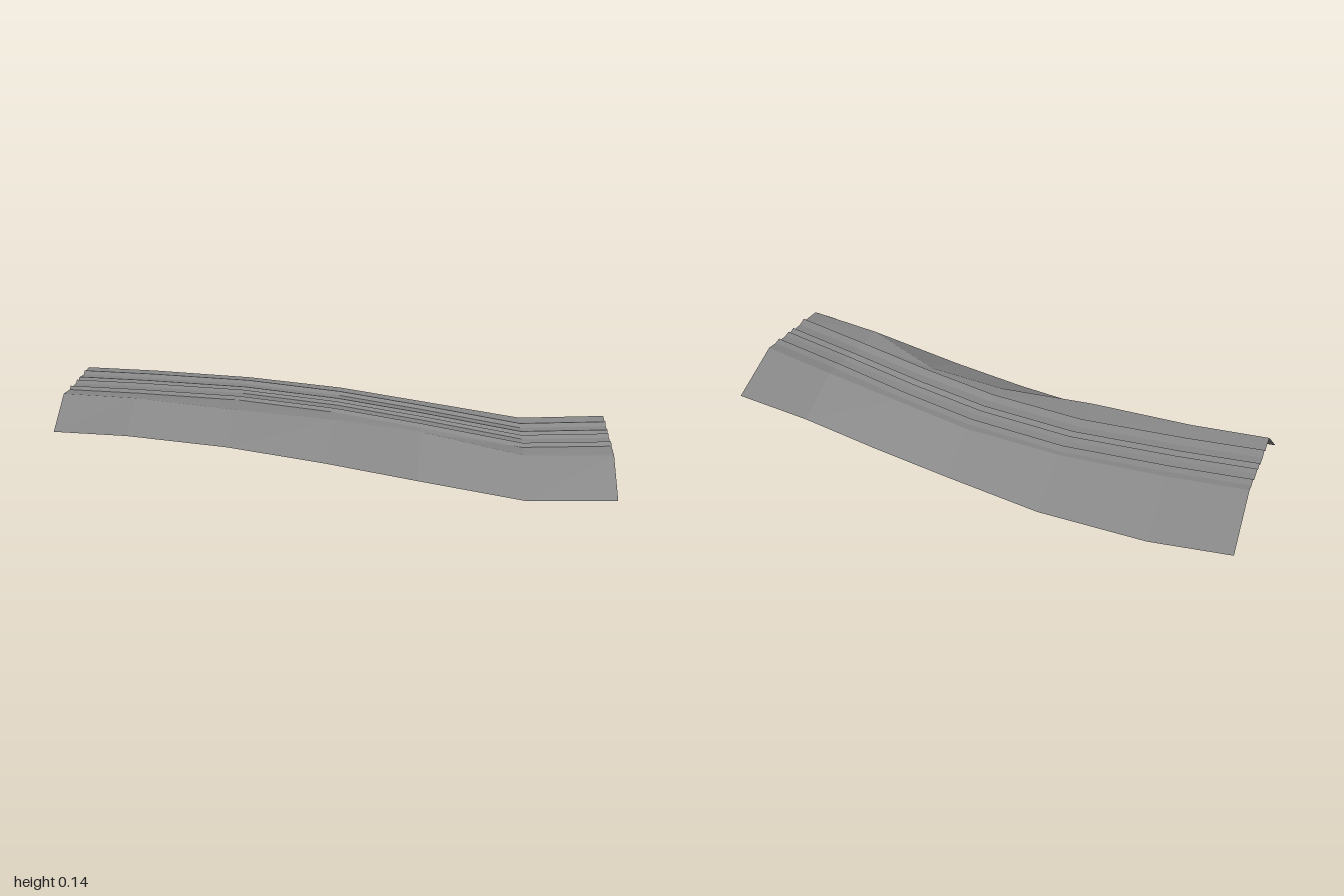
import * as THREE from 'three';

// Stations along the road: x, back edge z, back shoulder z, first ridge z, front shoulder z, front edge z, lift, front shoulder height
const stations = [
  [-1.00, -0.91, -0.61, -0.52, -0.14, 0.05, 0, 0.10],
  [-0.72, -0.88, -0.57, -0.48, -0.09, 0.09, 0, 0.10],
  [-0.33, -0.75, -0.48, -0.40, 0.04, 0.22, 0, 0.095],
  [0.04, -0.55, -0.33, -0.24, 0.13, 0.41, 0, 0.087],
  [0.36, -0.37, -0.13, -0.04, 0.28, 0.60, 0, 0.087],
  [0.71, -0.16, 0.09, 0.20, 0.61, 0.80, 0, 0.10],
  [1.00, -0.09, 0.20, 0.31, 0.70, 0.91, 0.04, 0.09],
];

// Track surface relative to the first ridge: z offset, height
const tracks = [
  [-0.045, 0.095], [-0.008, 0.102], [0.012, 0.091],
  [0.06, 0.093], [0.092, 0.099], [0.108, 0.090],
  [0.142, 0.099], [0.158, 0.089],
  [0.215, 0.090], [0.258, 0.102], [0.276, 0.091],
];

// Cross-section of embankment and tracks at one station
function section([x, back, backTop, ridge, frontTop, front, lift, frontY]) {
  return [
    [x, lift, back],
    [x, 0.097 + lift, backTop],
    ...tracks.map(([dz, y]) => [x, y + lift, ridge + dz]),
    [x, frontY + lift, frontTop],
    [x, lift, front],
  ];
}

// Sheet joining the cross-sections
function loft(rows) {
  const n = rows[0].length;
  const index = [];
  for (let i = 0; i < rows.length - 1; i++) {
    for (let j = 0; j < n - 1; j++) {
      const a = i * n + j, b = a + 1, c = a + n, d = c + 1;
      index.push(a, b, c, b, d, c);
    }
  }
  const geometry = new THREE.BufferGeometry();
  geometry.setAttribute('position', new THREE.Float32BufferAttribute(rows.flat(2), 3));
  geometry.setIndex(index);
  const flat = geometry.toNonIndexed();
  flat.computeVertexNormals();
  return flat;
}

export function createModel() {
  const group = new THREE.Group();
  group.name = 'ruttedRoad';
  const gravel = new THREE.MeshStandardMaterial({
    color: 0x888888, flatShading: true, side: THREE.DoubleSide,
  });
  gravel.name = 'gravel grey';
  const road = new THREE.Mesh(loft(stations.map(section)), gravel);
  road.name = 'roadEmbankment';
  group.add(road);
  return group;
}
